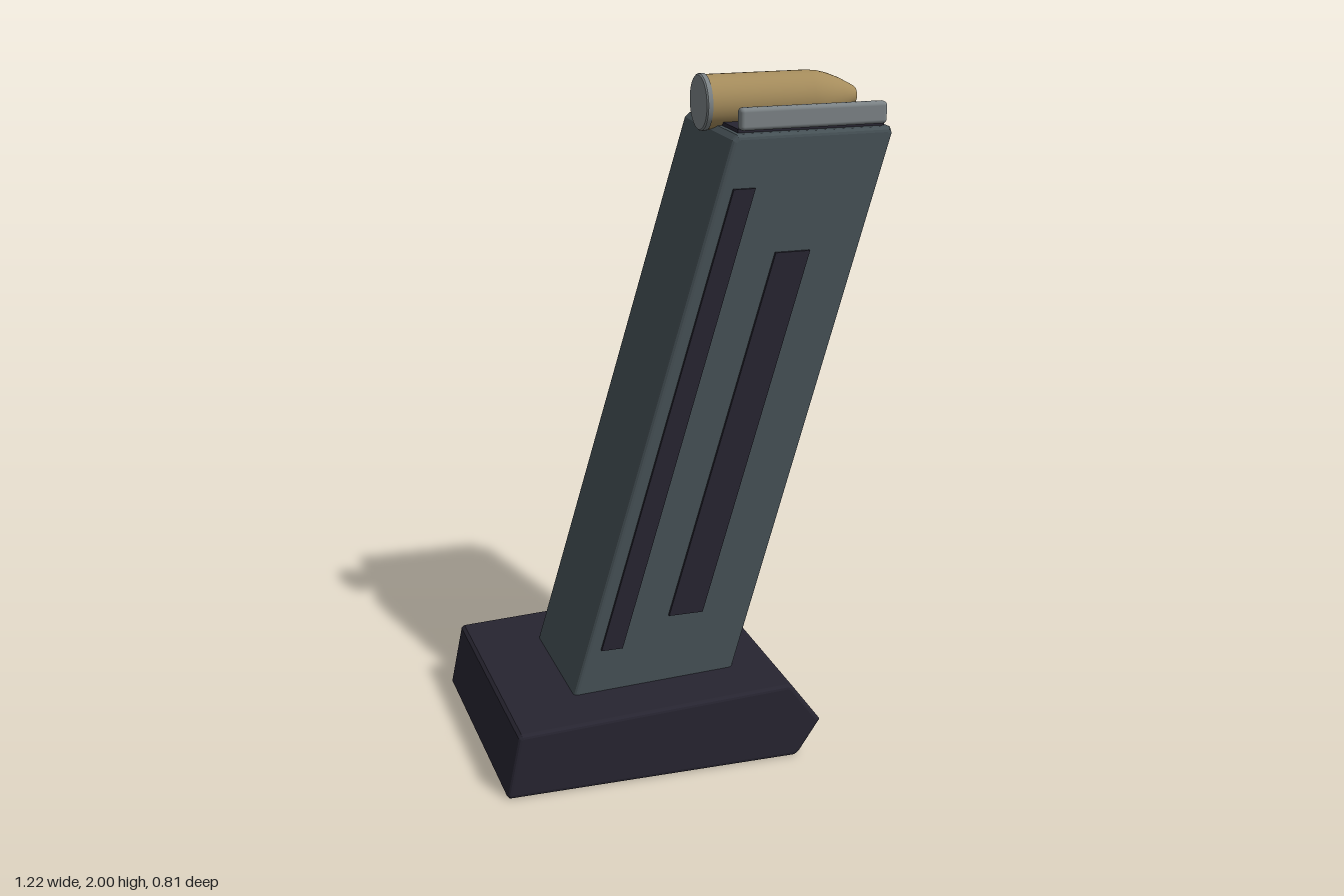
import * as THREE from 'three';
import { RoundedBoxGeometry } from 'three/addons/geometries/RoundedBoxGeometry.js';

const mat = (name, color) => {
  const m = new THREE.MeshStandardMaterial({ color });
  m.name = name;
  return m;
};

export function createModel() {
  const group = new THREE.Group();
  const steel = mat('blue grey steel', 0x465156);
  const dark = mat('dark polymer', 0x272531);
  const silver = mat('light grey metal', 0x7c8386);
  const brass = mat('brass', 0xa58c5c);

  const add = (name, geometry, material) => {
    const mesh = new THREE.Mesh(geometry, material);
    mesh.name = name;
    group.add(mesh);
    return mesh;
  };

  // Side profile in x-y, extruded symmetrically across z with soft edges
  const slab = (points, halfWidth, bevel) => {
    const shape = new THREE.Shape(points.map(([x, y]) => new THREE.Vector2(x, y)));
    const depth = 2 * (halfWidth - bevel);
    return new THREE.ExtrudeGeometry(shape, {
      depth, bevelEnabled: bevel > 0, bevelThickness: bevel, bevelSize: bevel,
      bevelOffset: -bevel, bevelSegments: 3,
    }).translate(0, 0, -depth / 2);
  };

  // Base plate with a pointed nose
  add('basePlate', slab([
    [-0.612, 0.008], [-0.605, 0], [0.275, 0], [0.29, 0.012], [0.354, 0.108],
    [0.265, 0.228], [0.25, 0.236], [-0.565, 0.198], [-0.575, 0.19],
  ], 0.405, 0.012), dark);

  // Slanted body
  const lean = 0.294;
  add('body', slab([
    [-0.394, 0.1], [0.1, 0.1], [0.606, 1.838], [0.6, 1.856], [0.135, 1.856], [0.12, 1.842],
  ], 0.22, 0.014), steel);

  // Dark strips along both sides, following the lean
  const strips = [
    { name: 'narrowStrip', x: -0.278, width: 0.065, bottom: 0.345, top: 1.705 },
    { name: 'wideStrip', x: -0.068, width: 0.105, bottom: 0.43, top: 1.515 },
  ];
  for (const { name, x, width, bottom, top } of strips) {
    const shift = (top - bottom) * lean;
    for (const side of [-1, 1]) {
      const strip = add(name + (side > 0 ? 'Left' : 'Right'), slab([
        [x, bottom], [x + width, bottom], [x + width + shift, top], [x + shift, top],
      ], 0.007, 0), dark);
      strip.position.z = side * 0.222;
    }
  }

  // Dark opening on top, with a feed lip on each side
  const opening = add('topOpening', new THREE.BoxGeometry(0.445, 0.02, 0.37), dark);
  opening.position.set(0.37, 1.857, 0);
  for (const side of [-1, 1]) {
    const lip = add(side > 0 ? 'feedLipLeft' : 'feedLipRight',
      new RoundedBoxGeometry(0.445, 0.064, 0.036, 3, 0.012), silver);
    lip.position.set(0.37, 1.896, side * 0.192);
  }

  // Cartridge lying along x
  const turned = (points) => new THREE.LatheGeometry(
    points.map(([r, x]) => new THREE.Vector2(r, x)), 32).rotateZ(-Math.PI / 2);
  const rim = add('cartridgeRim', turned([
    [0, 0.092], [0.078, 0.092], [0.078, 0.092], [0.082, 0.096], [0.082, 0.096],
    [0.082, 0.11], [0.082, 0.11], [0, 0.112],
  ]), silver);
  const round = add('cartridge', turned([
    [0.079, 0.11], [0.079, 0.3], [0.079, 0.425], [0.076, 0.455], [0.068, 0.485],
    [0.052, 0.525], [0.028, 0.57], [0.028, 0.57], [0.024, 0.575], [0.024, 0.575], [0, 0.575],
  ]), brass);
  rim.position.y = round.position.y = 1.918;

  return group;
}
